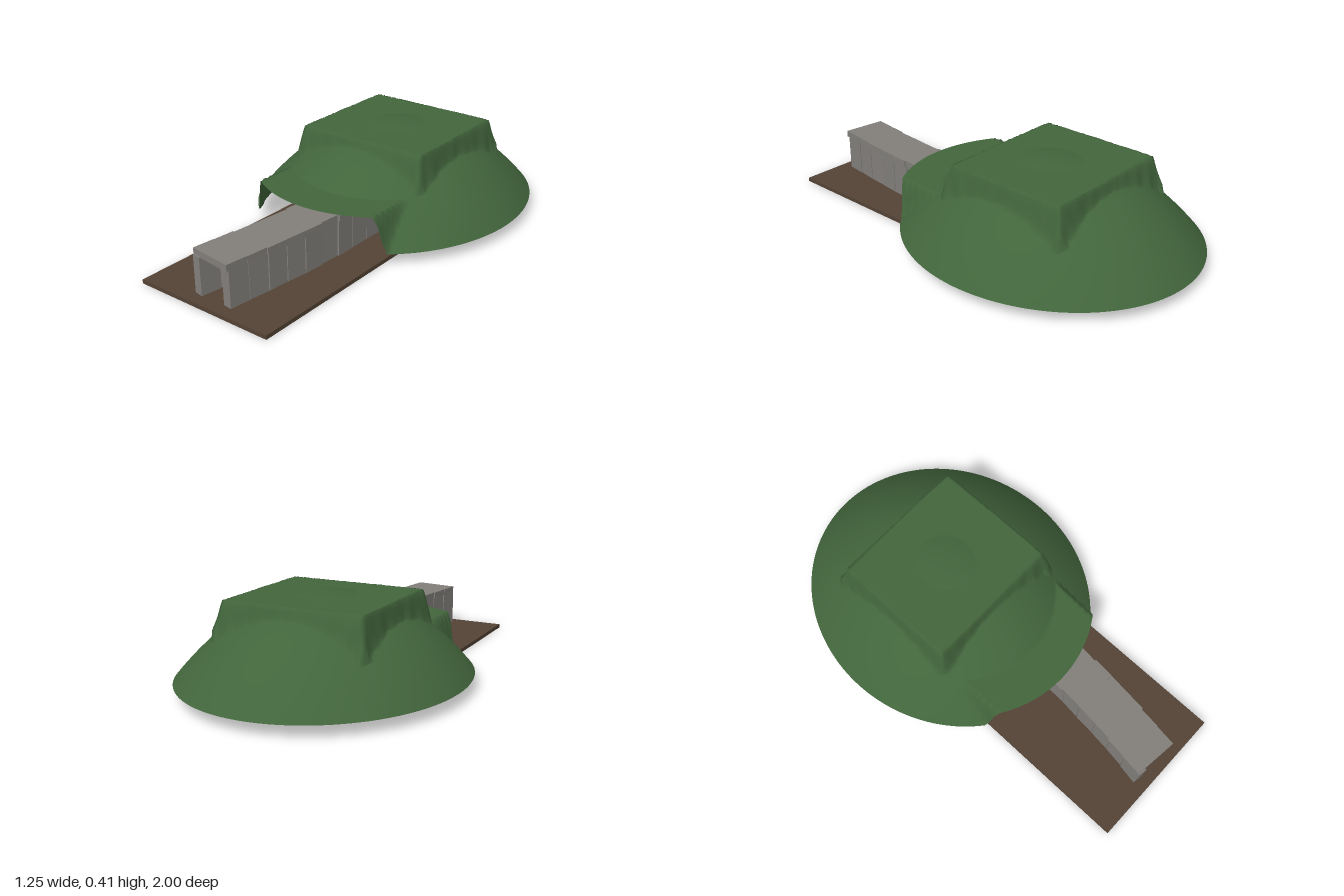
import * as THREE from 'three';
import { mergeGeometries, mergeVertices } from 'three/addons/utils/BufferGeometryUtils.js';
import { RoundedBoxGeometry } from 'three/addons/geometries/RoundedBoxGeometry.js';

const CENTRE_Z = -0.295;
const FLOOR = 0.018;

// Small seeded jitter in -1..1
let seed = 7;
function jitter() {
  seed = (seed * 16807) % 2147483647;
  return (seed / 2147483647) * 2 - 1;
}

// 1 inside the limit, falling to 0 over the given width
const fall = (d, limit, width) => 1 - Math.min(1, Math.max(0, (d - limit) / width));

// Height of the grass sheet: low dome, raised square block and entrance canopy
function moundHeight(x, z, r) {
  let y = 0.055 + 0.35 * (1 - Math.pow(r, 2.2));
  const ripple = 0.006 * Math.sin(x * 71 + z * 13) * Math.sin(z * 57 - x * 9);
  const block = Math.min(fall(Math.abs(x), 0.325, 0.03 + ripple), fall(Math.abs(z + 0.305), 0.295, 0.035 + ripple));
  if (block > 0) y = Math.max(y, 0.26 + 0.135 * block);
  if (z > 0) y = Math.max(y, 0.055 + 0.17 * fall(Math.abs(x), 0.322, 0.036));
  return y;
}

function moundGeometry() {
  let g = new THREE.RingGeometry(0, 1, 192, 100);
  g.rotateX(-Math.PI / 2);
  g.deleteAttribute('uv');
  g.deleteAttribute('normal');
  g = mergeVertices(g, 1e-5);
  const p = g.attributes.position;
  for (let i = 0; i < p.count; i++) {
    const r = Math.min(1, Math.hypot(p.getX(i), p.getZ(i)));
    const x = p.getX(i) * 0.625;
    const z = p.getZ(i) * 0.705 + CENTRE_Z;
    p.setXYZ(i, x, moundHeight(x, z, r), z);
  }
  g.computeVertexNormals();
  return g;
}

// Corbelled chamber: rings of stones drawing in towards a capstone
function chamberGeometry() {
  const stones = [];
  const top = 0.36, course = 0.026;
  for (let y = FLOOR + course / 2; y < top - 0.02; y += course) {
    const radius = 0.328 * Math.pow(1 - (y / top) ** 2, 0.7);
    const count = Math.max(6, Math.round((2 * Math.PI * radius) / 0.085));
    const width = (2 * Math.PI * radius) / count;
    const turn = jitter();
    for (let i = 0; i < count; i++) {
      const a = ((i + turn) / count) * Math.PI * 2;
      const x = Math.sin(a) * radius;
      // Leave the doorway open
      if (y < 0.18 && Math.cos(a) > 0 && Math.abs(x - 0.065) < 0.07) continue;
      const s = new RoundedBoxGeometry(width * 1.02, course * 1.04, 0.06, 1, 0.008);
      s.rotateZ(jitter() * 0.03);
      s.translate(0, y, radius - 0.03 + jitter() * 0.004);
      s.rotateY(a);
      s.translate(0, 0, CENTRE_Z - 0.005);
      stones.push(s);
    }
  }
  const cap = new THREE.CylinderGeometry(0.08, 0.09, 0.025, 12).toNonIndexed();
  cap.translate(0, top - 0.012, CENTRE_Z - 0.005);
  stones.push(cap);
  return mergeGeometries(stones.map((s) => (s.index ? s.toNonIndexed() : s)));
}

// Passage centre line, bending gently towards the chamber
const passageX = (z) => 0.07 - 0.062 * Math.pow(Math.max(0, (z - 0.3) / 0.64), 1.5);

export function createModel() {
  const model = new THREE.Group();
  model.name = 'passageTomb';
  const grass = new THREE.MeshStandardMaterial({ color: 0x42653c, side: THREE.DoubleSide });
  const stone = new THREE.MeshStandardMaterial({ color: 0x827f7b });
  const earth = new THREE.MeshStandardMaterial({ color: 0x544335 });
  grass.name = 'grass';
  stone.name = 'stone';
  earth.name = 'earth';

  const add = (parent, name, geometry, material) => {
    const mesh = new THREE.Mesh(geometry, material);
    mesh.name = name;
    parent.add(mesh);
    return mesh;
  };

  // Ground slab
  add(model, 'groundSlab', new THREE.BoxGeometry(0.68, FLOOR, 1.63), earth).position.set(0, FLOOR / 2, 0.185);

  add(model, 'grassMound', moundGeometry(), grass);
  add(model, 'stoneChamber', chamberGeometry(), stone);

  // Passage: upright slabs on both sides with a capstone over each pair
  const passage = new THREE.Group();
  passage.name = 'stonePassage';
  model.add(passage);
  const step = 0.098;
  for (let i = 0; i < 10; i++) {
    const z = 0.945 - step * (i + 0.5);
    const x = passageX(z);
    const lean = Math.atan2(passageX(z + 0.05) - passageX(z - 0.05), 0.1);
    for (const side of [-1, 1]) {
      const wall = add(passage, side < 0 ? 'rightUpright' : 'leftUpright',
        new THREE.BoxGeometry(0.042, 0.172, step - 0.003), stone);
      wall.position.set(x + side * 0.076 + jitter() * 0.003, FLOOR + 0.086, z);
      wall.rotation.y = lean + jitter() * 0.04;
    }
    const cap = add(passage, 'capstone', new THREE.BoxGeometry(0.205, 0.03, step + 0.002), stone);
    cap.position.set(x + jitter() * 0.004, 0.2, z);
    cap.rotation.y = lean + jitter() * 0.03;
  }
  return model;
}
